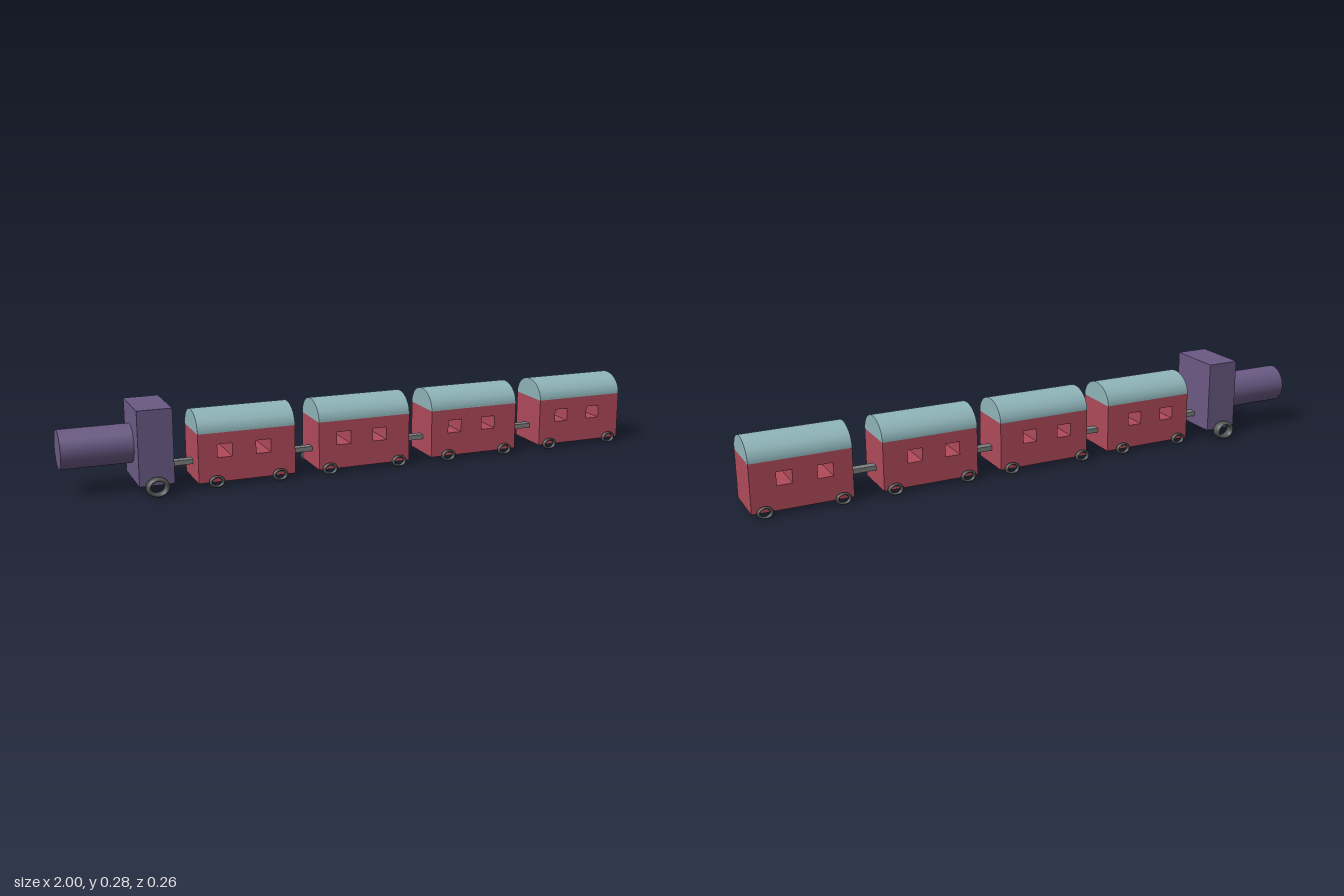
import * as THREE from 'three';

const mat = (color) => new THREE.MeshStandardMaterial({ color });
const red = mat(0xb04a5a), teal = mat(0x8fb5ba), purple = mat(0x6b5a85);
const dark = mat(0x505453), steel = mat(0x7c8080);

function add(parent, name, geometry, material, x, y, z) {
  const mesh = new THREE.Mesh(geometry, material);
  mesh.name = name;
  mesh.position.set(x, y, z);
  parent.add(mesh);
  return mesh;
}

// Ring wheel: slightly oval, with a tyre of the given depth along z
function wheelGeometry(rx, ry, tube, depth) {
  const g = new THREE.TorusGeometry(rx - tube, tube, 12, 28);
  return g.scale(1, ry / rx, depth / (2 * tube));
}

// Carriage body: side outline with two square windows cut right through
function bodyGeometry(length, bottom, top, width) {
  const h = length / 2;
  const side = new THREE.Shape([
    new THREE.Vector2(-h, bottom), new THREE.Vector2(h, bottom),
    new THREE.Vector2(h, top), new THREE.Vector2(-h, top),
  ]);
  for (const cx of [-0.075, 0.055]) {
    side.holes.push(new THREE.Path([
      new THREE.Vector2(cx - 0.025, 0.099), new THREE.Vector2(cx - 0.025, 0.143),
      new THREE.Vector2(cx + 0.025, 0.143), new THREE.Vector2(cx + 0.025, 0.099),
    ]));
  }
  return new THREE.ExtrudeGeometry(side, { depth: width, bevelEnabled: false })
    .translate(0, 0, -width / 2);
}

export function createModel() {
  const train = new THREE.Group();
  train.name = 'train';

  // Engine: boiler, cab and two large wheels
  const engine = new THREE.Group();
  engine.name = 'engine';
  train.add(engine);
  const boiler = new THREE.CylinderGeometry(0.064, 0.064, 0.235, 32).rotateZ(Math.PI / 2);
  add(engine, 'boiler', boiler, purple, -0.8825, 0.15, -0.02);
  add(engine, 'cab', new THREE.BoxGeometry(0.113, 0.245, 0.196), purple, -0.715, 0.1575, 0.001);
  const bigWheel = wheelGeometry(0.038, 0.032, 0.008, 0.033);
  for (const s of [1, -1]) add(engine, 'engineWheel', bigWheel, dark, -0.717, 0.034, s * 0.1145);

  // Carriages: centre, then wheel positions on the front and back sides
  const length = 0.327, width = 0.163;
  const cars = [
    { x: -0.413, front: [-0.519, -0.305], back: [-0.536, -0.307] },
    { x: -0.002, front: [-0.13, 0.121], back: [-0.144, 0.124] },
    { x: 0.41, front: [0.308, 0.527], back: [0.284, 0.538] },
    { x: 0.8365, front: [0.711, 0.958], back: [0.711, 0.96] },
  ];
  const body = bodyGeometry(length, 0.018, 0.181, width);
  const roof = new THREE.CylinderGeometry(1, 1, length, 32, 1, false, 0, Math.PI)
    .rotateZ(Math.PI / 2).scale(1, 0.066, width / 2);
  const smallWheel = wheelGeometry(0.026, 0.02, 0.005, 0.014);
  let previousEnd = -0.66;

  for (const car of cars) {
    const carriage = new THREE.Group();
    carriage.name = 'carriage';
    train.add(carriage);
    add(carriage, 'body', body, red, car.x, 0, 0);
    add(carriage, 'roof', roof, teal, car.x, 0.181, 0);
    for (const x of car.front) add(carriage, 'wheel', smallWheel, dark, x, 0.022, 0.0905);
    for (const x of car.back) add(carriage, 'wheel', smallWheel, dark, x, 0.022, -0.0905);

    // Coupling bar to whatever runs ahead
    const start = car.x - length / 2;
    const bar = new THREE.BoxGeometry(start - previousEnd + 0.01, 0.016, 0.028);
    add(train, 'coupling', bar, steel, (start + previousEnd) / 2, 0.075, 0);
    previousEnd = car.x + length / 2;
  }
  return train;
}
